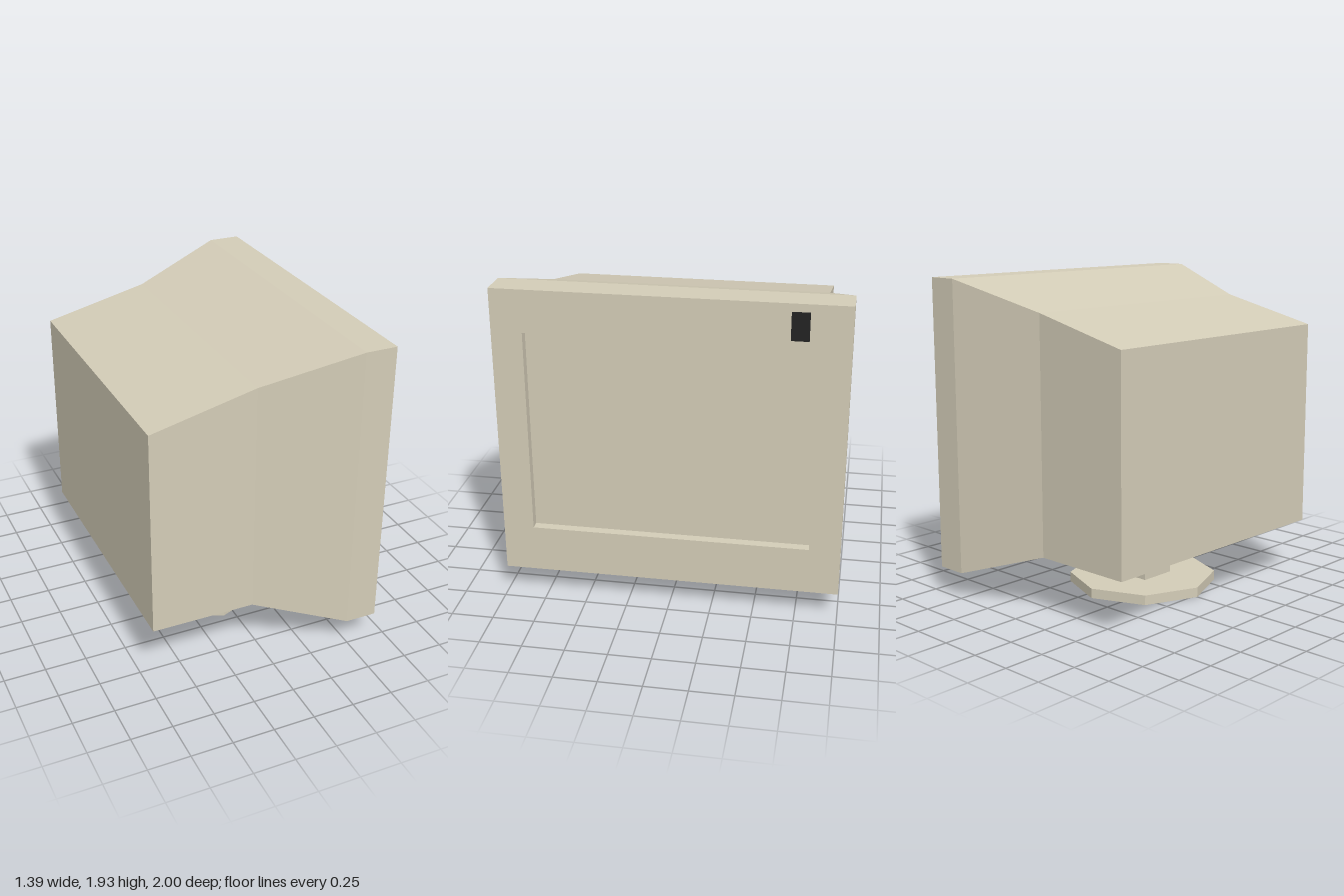
import * as THREE from 'three';

const beige = new THREE.MeshStandardMaterial({ color: 0xd3ccb7, flatShading: true });
const dark = new THREE.MeshStandardMaterial({ color: 0x222222, flatShading: true });

// Closed loft through rectangles [x, bottom, top, halfDepth], ordered along the skin
function loftRectangles(sections) {
  const rings = sections.map(([x, y0, y1, z]) => [
    [x, y0, z], [x, y0, -z], [x, y1, -z], [x, y1, z],
  ]);
  const positions = [];
  const quad = (a, b, c, d) => positions.push(...a, ...b, ...c, ...a, ...c, ...d);

  const [b0, b1, b2, b3] = rings[0];
  quad(b3, b2, b1, b0);
  for (let i = 0; i < rings.length - 1; i++) {
    for (let j = 0; j < 4; j++) {
      const k = (j + 1) % 4;
      quad(rings[i][j], rings[i][k], rings[i + 1][k], rings[i + 1][j]);
    }
  }
  quad(...rings[rings.length - 1]);

  const geometry = new THREE.BufferGeometry();
  geometry.setAttribute('position', new THREE.Float32BufferAttribute(positions, 3));
  geometry.computeVertexNormals();
  return geometry;
}

function addPart(group, name, geometry, material, x = 0, y = 0, z = 0) {
  const mesh = new THREE.Mesh(geometry, material);
  mesh.name = name;
  mesh.position.set(x, y, z);
  group.add(mesh);
  return mesh;
}

export function createModel() {
  const model = new THREE.Group();
  model.name = 'monitor';

  // Housing: rear box, flare, bezel, then the recess down to the screen
  addPart(model, 'housing', loftRectangles([
    [-0.695, 0.346, 1.608, 0.84],
    [-0.07, 0.346, 1.757, 0.84],
    [0.49, 0.162, 1.926, 1],
    [0.68, 0.162, 1.926, 1],
    [0.68, 0.445, 1.675, 0.82],
    [0.625, 0.445, 1.675, 0.82],
  ]), beige);

  // Neck, running up into the housing
  addPart(model, 'neck', new THREE.BoxGeometry(0.235, 0.3, 0.23), beige, -0.082, 0.2, 0);

  // Octagonal foot
  addPart(model, 'foot', new THREE.CylinderGeometry(0.455, 0.455, 0.06, 8), beige, -0.07, 0.03, 0);

  // Plain badge plate on the bezel
  addPart(model, 'badge', new THREE.BoxGeometry(0.02, 0.16, 0.1), dark, 0.682, 1.8, -0.72);

  return model;
}
